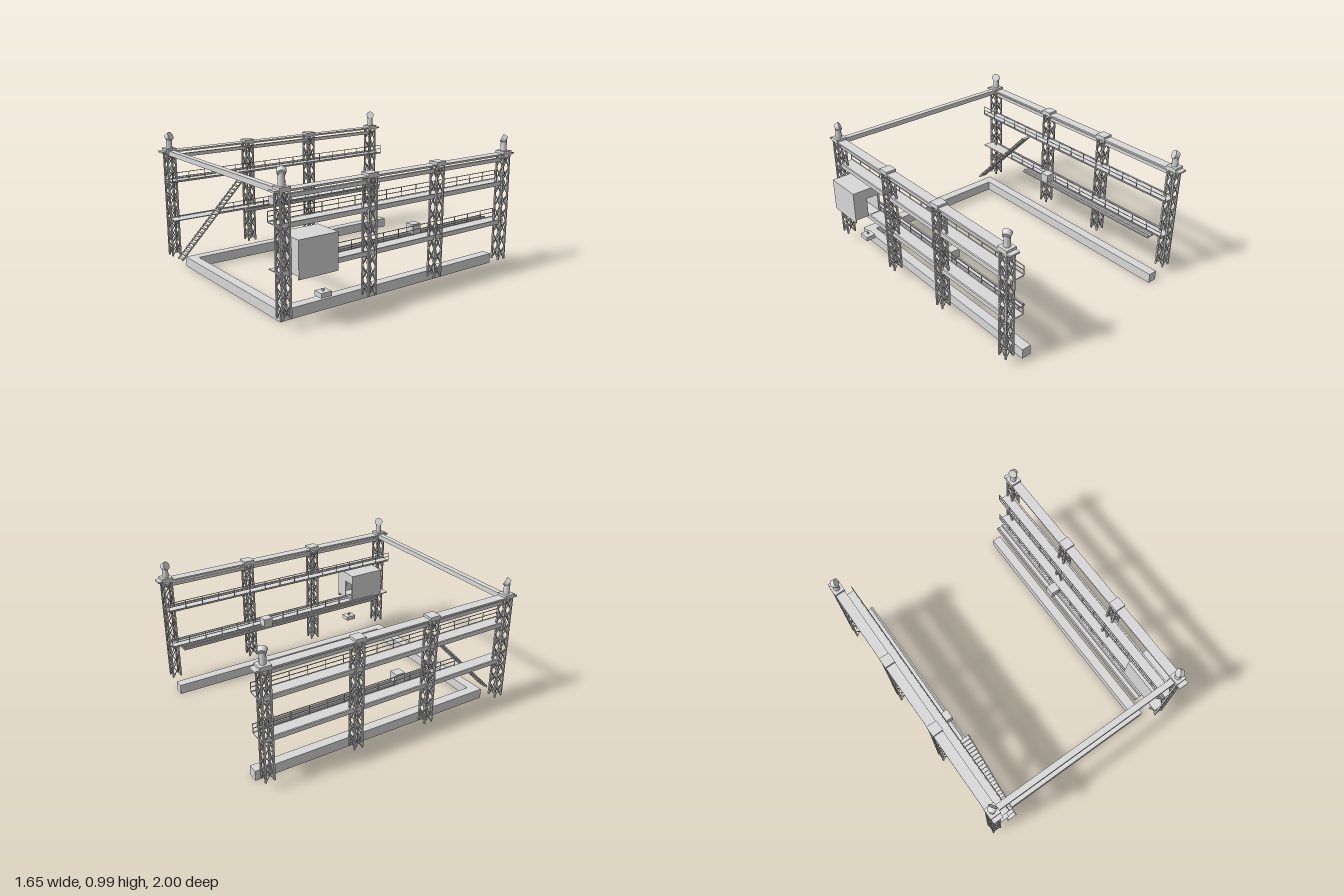
import * as THREE from 'three';
import { mergeGeometries } from 'three/addons/utils/BufferGeometryUtils.js';

const steel = new THREE.MeshStandardMaterial({ color: 0xd8d8d8 });
steel.name = 'light grey steel';

// Box given by its two extreme corners
function block(x0, x1, y0, y1, z0, z1) {
  const g = new THREE.BoxGeometry(Math.abs(x1 - x0), y1 - y0, z1 - z0);
  return g.translate((x0 + x1) / 2, (y0 + y1) / 2, (z0 + z1) / 2);
}

// Square bar between two points
function strut(a, b, t) {
  const p = new THREE.Vector3(...a), q = new THREE.Vector3(...b);
  const d = q.clone().sub(p);
  const g = new THREE.BoxGeometry(t, t, d.length());
  g.applyQuaternion(new THREE.Quaternion().setFromUnitVectors(new THREE.Vector3(0, 0, 1), d.normalize()));
  return g.translate(...p.add(q).multiplyScalar(0.5).toArray());
}

function part(parent, name, geometries) {
  const mesh = new THREE.Mesh(mergeGeometries(geometries.map(g => g.toNonIndexed())), steel);
  mesh.name = name;
  parent.add(mesh);
}

// Lattice tower: four legs with crossed braces on every face
function latticeTower(cx, cz) {
  const parts = [], r = 0.03, y0 = 0.07, y1 = 0.85, n = 8, h = (y1 - y0) / n;
  const corners = [[-r, -r], [r, -r], [r, r], [-r, r]];
  corners.forEach(([ax, az], i) => {
    const [bx, bz] = corners[(i + 1) % 4];
    parts.push(strut([cx + ax, y0, cz + az], [cx + ax, y1, cz + az], 0.011));
    for (let k = 0; k < n; k++) {
      const lo = y0 + k * h, hi = lo + h;
      parts.push(strut([cx + ax, lo, cz + az], [cx + bx, hi, cz + bz], 0.005));
      parts.push(strut([cx + bx, lo, cz + bz], [cx + ax, hi, cz + az], 0.005));
    }
  });
  parts.push(block(cx - 0.039, cx + 0.039, 0.845, 0.875, cz - 0.039, cz + 0.039));
  return parts;
}

// Three-bar handrail along z
function railing(x, y, z0, z1) {
  const parts = [], n = Math.round((z1 - z0) / 0.128);
  for (const h of [0.005, 0.035, 0.065]) parts.push(strut([x, y + h, z0], [x, y + h, z1], 0.004));
  for (let i = 0; i <= n; i++) {
    const z = z0 + (z1 - z0) * i / n;
    parts.push(strut([x, y, z], [x, y + 0.067, z], 0.004));
  }
  return parts;
}

// Floodlight on a short post, turned inward
function floodlight(cx, cz) {
  const post = new THREE.CylinderGeometry(0.021, 0.022, 0.08, 12).translate(cx, 0.91, cz);
  const aim = new THREE.Vector3(-Math.sign(cx) * 0.75, 0.4, -Math.sign(cz) * 0.5).normalize();
  const head = new THREE.CylinderGeometry(0.031, 0.025, 0.035, 16);
  head.applyQuaternion(new THREE.Quaternion().setFromUnitVectors(new THREE.Vector3(0, 1, 0), aim));
  head.translate(cx, 0.956, cz);
  return [post, head];
}

// One side wall; s points inward, trackEnd is where the lower track stops
function sideWall(name, cx, s, trackEnd, trolleyZ) {
  const g = new THREE.Group();
  g.name = name;
  const u = d => cx + s * d;
  for (const z of [0.93, 0.286, -0.286, -0.93]) part(g, 'latticeTower', latticeTower(cx, z));
  for (const z of [0.93, -0.93]) part(g, 'floodlight', floodlight(cx, z));

  // Roof plate and the rail beneath it
  part(g, 'topBeam', [
    block(u(-0.036), u(0.036), 0.846, 0.858, -1, 1),
    block(u(-0.008), u(0.012), 0.8, 0.825, -0.965, 0.965),
  ]);

  // Upper and lower walkways with edge beams and handrails
  for (const [y, railEnd] of [[0.645, 0.965], [0.358, 0.61]]) {
    part(g, 'walkway', [
      block(u(0), u(0.104), y - 0.006, y, -0.965, 0.965),
      block(u(0), u(0.012), y - 0.025, y + 0.006, -0.965, 0.965),
    ]);
    part(g, 'handrail', railing(u(0.102), y, -0.965, railEnd));
  }

  // Trolley track beside the lower walkway
  const track = [block(u(0.104), u(0.174), 0.35, 0.357, -0.905, trackEnd)];
  for (const d of [0.122, 0.16]) track.push(block(u(d - 0.005), u(d + 0.005), 0.357, 0.37, -0.905, trackEnd));
  part(g, 'trolleyTrack', track);
  part(g, 'trolley', [block(u(0.107), u(0.176), 0.362, 0.43, trolleyZ - 0.035, trolleyZ + 0.035)]);
  return g;
}

// Straight stair up to the upper walkway
function stairs() {
  const parts = [], n = 24;
  for (let i = 0; i < n; i++) {
    const t = (i + 0.5) / n, y = 0.07 + 0.575 * t, z = 0.955 - 0.56 * t;
    parts.push(block(-0.676, -0.612, y - 0.003, y + 0.003, z - 0.013, z + 0.013));
  }
  for (const x of [-0.678, -0.61]) parts.push(strut([x, 0.07, 0.955], [x, 0.64, 0.395], 0.008));
  return parts;
}

// Hollow control cabin with a doorway facing the walkway
function cabin() {
  const outline = points => points.map(p => new THREE.Vector2(...p));
  const wall = new THREE.Shape(outline([[0.61, 0.355], [0.82, 0.355], [0.82, 0.575], [0.61, 0.575]]));
  wall.holes.push(new THREE.Path(outline([[0.625, 0.362], [0.625, 0.5], [0.715, 0.5], [0.715, 0.362]])));
  return [
    new THREE.ExtrudeGeometry(wall, { depth: 0.008, bevelEnabled: false }).translate(0, 0, 0.608),
    block(0.61, 0.82, 0.355, 0.575, 0.885, 0.893),
    block(0.61, 0.618, 0.355, 0.575, 0.612, 0.89),
    block(0.814, 0.822, 0.333, 0.575, 0.608, 0.893),
    block(0.61, 0.82, 0.567, 0.575, 0.612, 0.89),
    block(0.61, 0.82, 0.352, 0.36, 0.612, 0.89),
  ];
}

export function createModel() {
  const model = new THREE.Group();
  model.name = 'gantryStructure';

  // U-shaped plinth
  part(model, 'plinth', [
    block(-0.68, -0.61, 0, 0.072, -0.965, 0.893),
    block(0.54, 0.61, 0, 0.072, -0.965, 0.893),
    block(-0.61, 0.54, 0, 0.072, 0.822, 0.893),
  ]);

  model.add(sideWall('rightWall', -0.785, 1, 0.39, 0.14));
  model.add(sideWall('leftWall', 0.714, -1, 0.82, -0.215));

  part(model, 'crossBeam', [block(-0.75, 0.68, 0.825, 0.86, 0.908, 0.95)]);
  part(model, 'stairs', stairs());
  part(model, 'cabin', cabin());

  // Hanging hook block
  part(model, 'hookBlock', [
    block(0.678, 0.75, 0.148, 0.18, 0.605, 0.685),
    block(0.708, 0.72, 0.18, 0.195, 0.64, 0.652),
  ]);
  return model;
}
